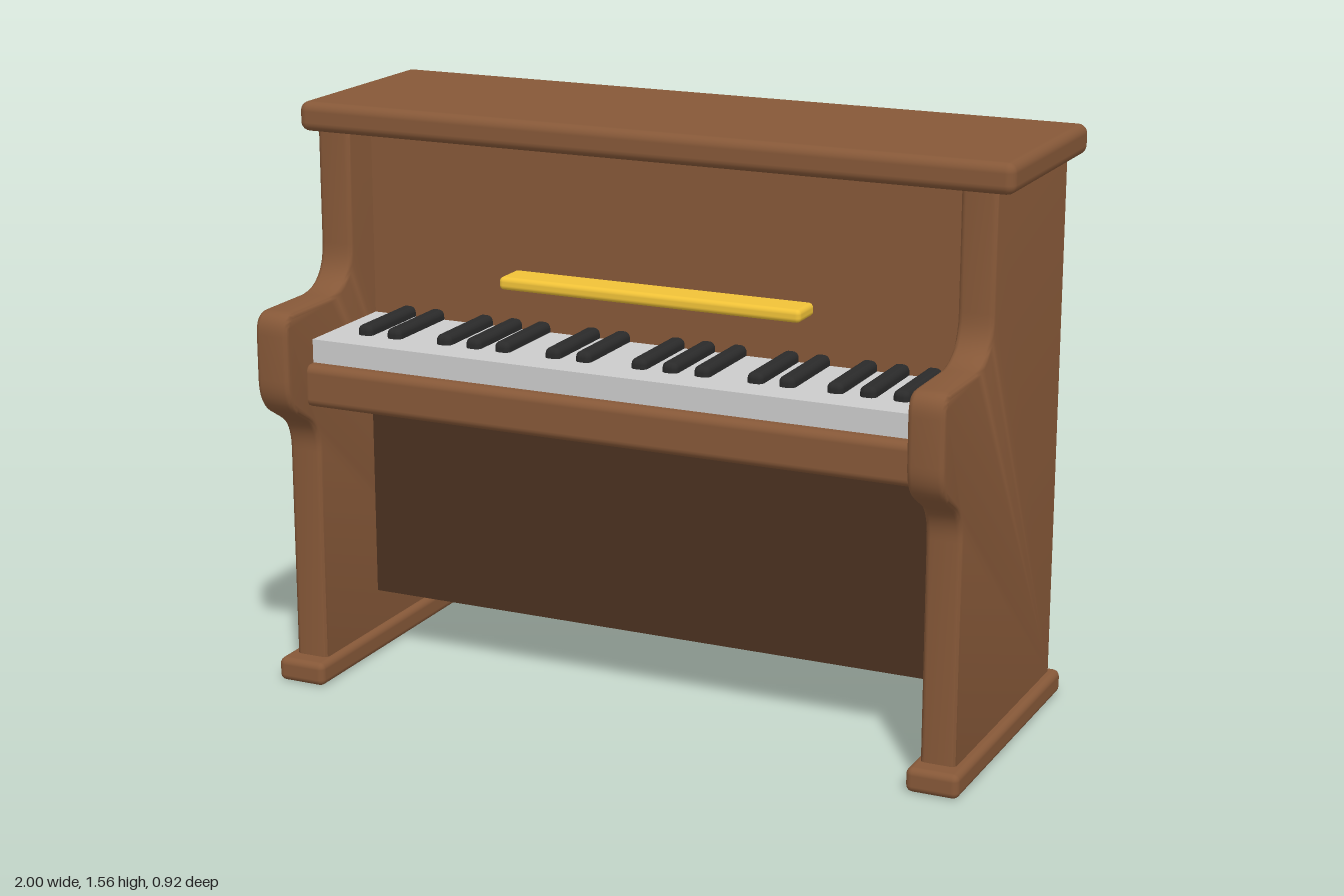
import * as THREE from 'three';
import { RoundedBoxGeometry } from 'three/addons/geometries/RoundedBoxGeometry.js';
import { toCreasedNormals } from 'three/addons/utils/BufferGeometryUtils.js';

const paint = (color) => new THREE.MeshStandardMaterial({ color });

export function createModel() {
  const piano = new THREE.Group();
  piano.name = 'uprightPiano';
  const wood = paint(0x865838);
  const darkWood = paint(0x4a3120);
  const gold = paint(0xf0c238);
  const ivory = paint(0xcccccc);
  const ebony = paint(0x2a2a2a);

  const add = (name, geometry, material) => {
    const mesh = new THREE.Mesh(geometry, material);
    mesh.name = name;
    piano.add(mesh);
    return mesh;
  };

  // Block spanning [min, max] on each axis, with optional rounded edges
  const block = (name, material, [x0, x1], [y0, y1], [z0, z1], radius = 0) => {
    const size = [x1 - x0, y1 - y0, z1 - z0];
    const geometry = radius
      ? new RoundedBoxGeometry(...size, 3, radius)
      : new THREE.BoxGeometry(...size);
    geometry.translate((x0 + x1) / 2, (y0 + y1) / 2, (z0 + z1) / 2);
    return add(name, geometry, material);
  };

  // Side panel profile (z, y) with the bulging key arm
  const profile = new THREE.Shape();
  profile.moveTo(-0.44, 0.05);
  profile.lineTo(0.31, 0.05);
  profile.lineTo(0.31, 0.65);
  profile.quadraticCurveTo(0.31, 0.72, 0.36, 0.75);
  profile.lineTo(0.41, 0.78);
  profile.quadraticCurveTo(0.46, 0.81, 0.46, 0.88);
  profile.lineTo(0.46, 1.0);
  profile.quadraticCurveTo(0.46, 1.06, 0.41, 1.06);
  profile.lineTo(0.23, 1.06);
  profile.quadraticCurveTo(0.12, 1.07, 0.12, 1.18);
  profile.lineTo(0.12, 1.5);
  profile.lineTo(-0.44, 1.5);
  profile.closePath();

  const bevel = 0.014;
  const thickness = 0.095;
  const side = new THREE.ExtrudeGeometry(profile, {
    depth: thickness - 2 * bevel,
    bevelSize: bevel,
    bevelThickness: bevel,
    bevelOffset: -bevel,
    bevelSegments: 3,
    curveSegments: 8,
  });
  side.translate(0, 0, bevel - thickness / 2);
  side.rotateY(-Math.PI / 2);
  const sideGeometry = toCreasedNormals(side, 0.9);

  // Mirrored side panels and feet
  for (const [label, s] of [['left', 1], ['right', -1]]) {
    add(label + 'SidePanel', sideGeometry, wood).position.x = s * 0.906;
    const span = s > 0 ? [0.84, 0.98] : [-0.98, -0.84];
    block(label + 'Foot', wood, span, [0, 0.065], [-0.46, 0.365], 0.018);
  }

  // Lid and case
  block('lid', wood, [-1, 1], [1.48, 1.56], [-0.46, 0.14], 0.025);
  block('upperCase', wood, [-0.87, 0.87], [0.79, 1.5], [-0.4, 0]);
  block('lowerCase', wood, [-0.87, 0.87], [0.17, 0.8], [-0.4, 0.025]);
  block('lowerFrontPanel', darkWood, [-0.865, 0.865], [0.171, 0.8], [0.0, 0.03]);

  // Keyboard
  block('keyBed', wood, [-0.875, 0.875], [0.79, 0.905], [-0.05, 0.365], 0.022);
  block('whiteKeys', ivory, [-0.862, 0.862], [0.89, 0.968], [-0.03, 0.33]);
  const blackKeyX = [-0.755, -0.667, -0.518, -0.43, -0.345, -0.198, -0.11,
    0.048, 0.135, 0.224, 0.37, 0.456, 0.585, 0.672, 0.76];
  for (const x of blackKeyX) {
    block('blackKey', ebony, [x - 0.022, x + 0.022], [0.945, 0.995], [-0.03, 0.24], 0.016);
  }

  // Music ledge
  block('musicLedge', gold, [-0.43, 0.43], [1.093, 1.128], [-0.02, 0.09], 0.013);

  return piano;
}
